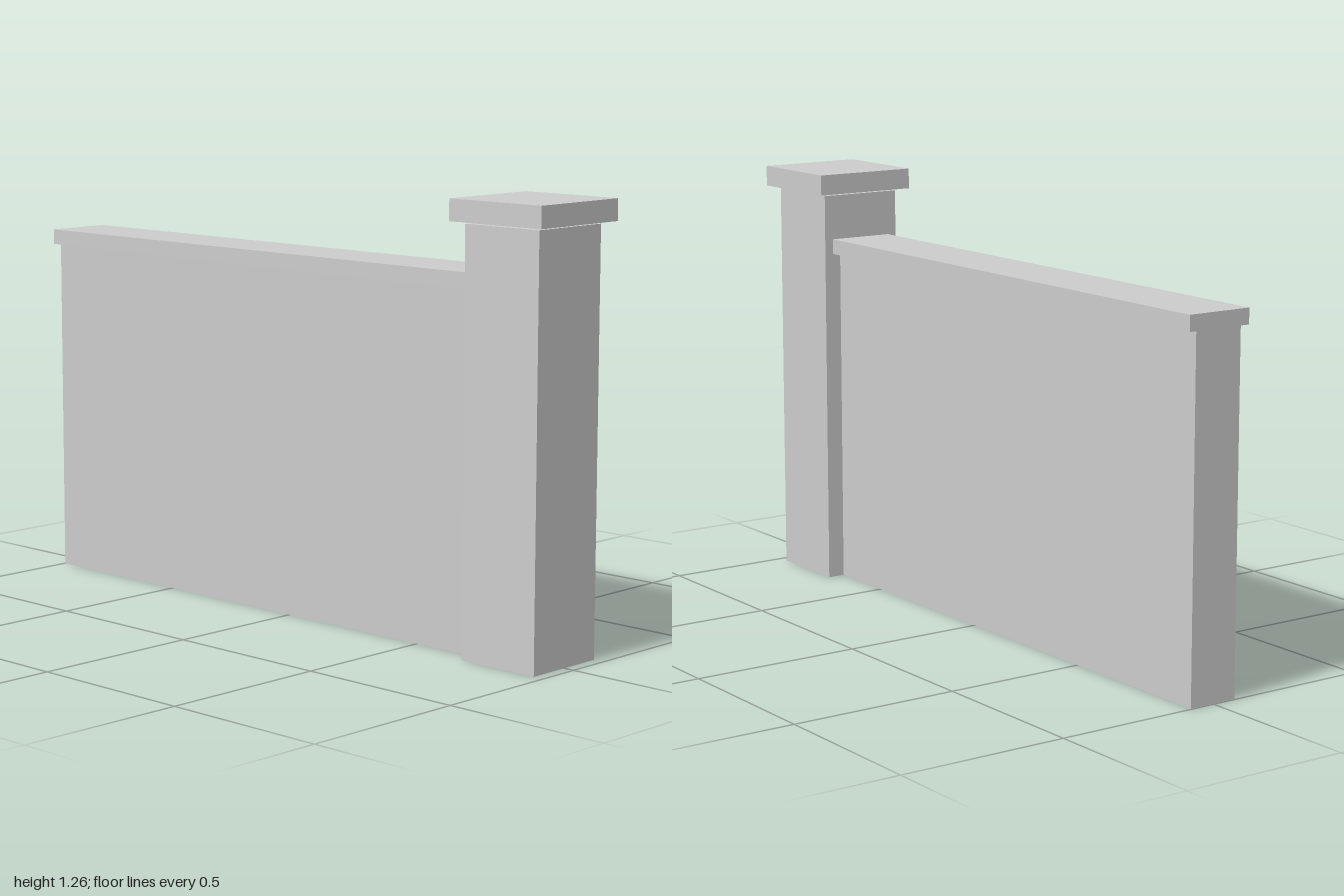
import * as THREE from 'three';

export function createModel() {
  const group = new THREE.Group();
  const material = new THREE.MeshStandardMaterial({ color: 0xcccccc, flatShading: true });

  // Box from its x range, y range and depth, centred on z = 0
  function addBlock(name, [x0, x1], [y0, y1], depth) {
    const mesh = new THREE.Mesh(new THREE.BoxGeometry(x1 - x0, y1 - y0, depth), material);
    mesh.position.set((x0 + x1) / 2, (y0 + y1) / 2, 0);
    mesh.name = name;
    group.add(mesh);
  }

  // Wall panel with its overhanging coping
  addBlock('wall', [-0.996, 0.712], [0, 1.015], 0.15);
  addBlock('wallCoping', [-1, 0.712], [1.015, 1.06], 0.2);

  // End pillar, with a narrow joint below its cap slab
  addBlock('pillar', [0.712, 0.968], [0, 1.194], 0.256);
  addBlock('pillarCap', [0.682, 1], [1.201, 1.262], 0.318);

  return group;
}
